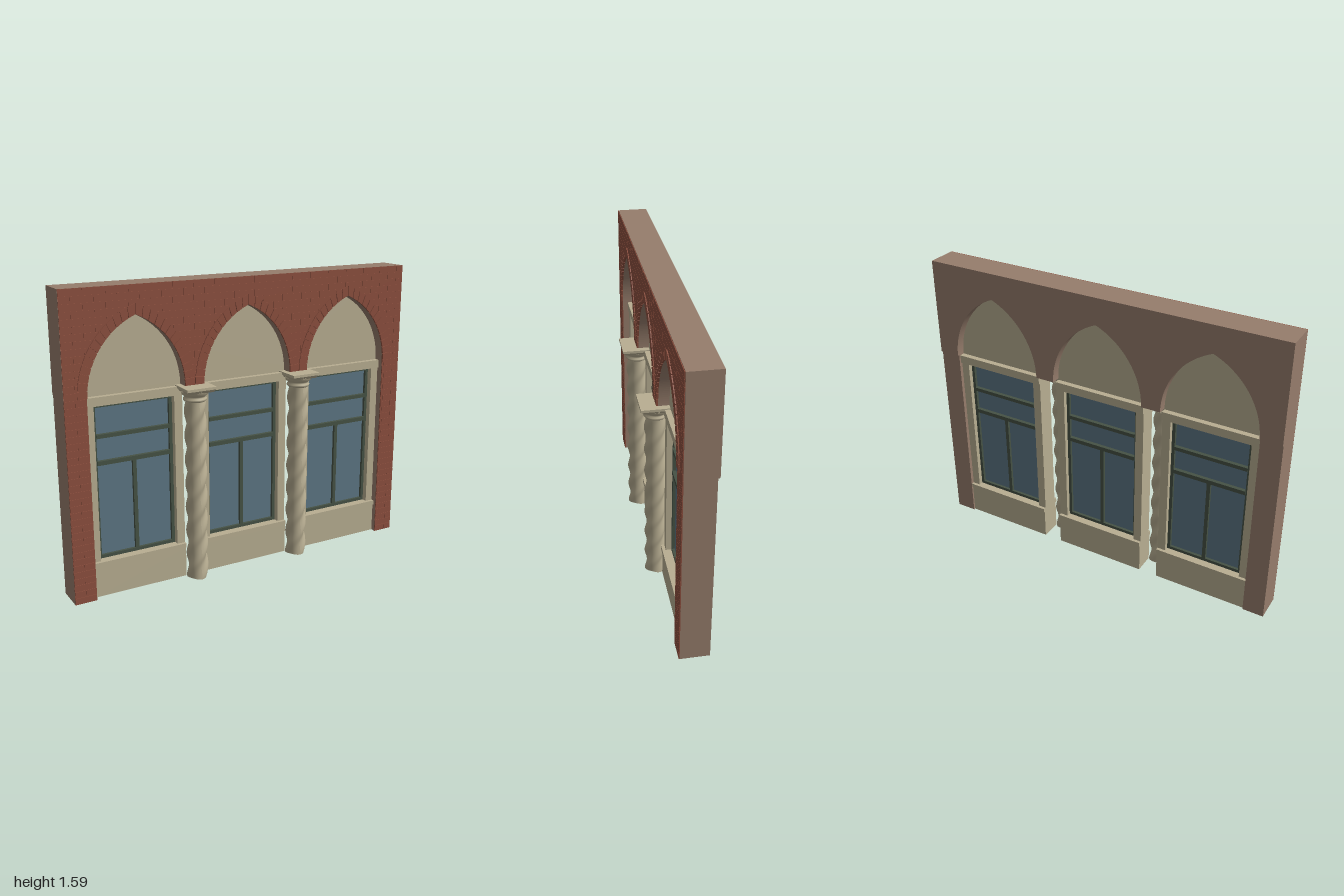
import * as THREE from 'three';
import { mergeGeometries } from 'three/addons/utils/BufferGeometryUtils.js';

const mat = (name, color) => Object.assign(new THREE.MeshStandardMaterial({ color }), { name });

export function createModel() {
  const stone = mat('cream stone', 0xb8ae92);
  const brick = mat('red brick', 0x8c4f3e);
  const plaster = mat('brown wall', 0x967d6c);
  const frameMat = mat('dark green frame', 0x465245);
  const glassMat = mat('blue glass', 0x5d7684);

  const root = new THREE.Group();
  root.name = 'archedWindowWall';
  const bays = [-0.625, 0, 0.625];
  const rows = 45, top = 1.585, rowH = top / rows;
  const spring = rowH * 30;            // height where the arches begin
  const half = 0.26, c = 0.155;        // arch half width, arc centre offset
  const rIn = half + c, rOut = rIn + 0.05;
  const peak = Math.acos(c / rIn);

  const add = (name, geo, material, parent = root) => {
    const m = new THREE.Mesh(geo, material);
    m.name = name;
    parent.add(m);
    return m;
  };
  // box geometry given by its limits
  const box = (x0, x1, y0, y1, z0, z1) =>
    new THREE.BoxGeometry(x1 - x0, y1 - y0, z1 - z0)
      .translate((x0 + x1) / 2, (y0 + y1) / 2, (z0 + z1) / 2);
  const extrude = (shape, z0, z1) =>
    new THREE.ExtrudeGeometry(shape, { depth: z1 - z0, bevelEnabled: false, curveSegments: 20 })
      .translate(0, 0, z0);
  // pointed arch, drawn from left springing to right springing
  const archPath = (shape, cx) => {
    shape.lineTo(cx - half, spring);
    shape.absarc(cx + c, spring, rIn, Math.PI, Math.PI - peak, true);
    shape.absarc(cx - c, spring, rIn, peak, 0, true);
  };

  // upper wall with three arched openings
  const wall = new THREE.Shape();
  wall.moveTo(-1, spring);
  bays.forEach(cx => archPath(wall, cx));
  wall.lineTo(1, spring);
  wall.lineTo(1, top);
  wall.lineTo(-1, top);
  wall.closePath();
  add('upperWall', extrude(wall, -0.125, 0.036), plaster);
  add('upperBrickFace', new THREE.ShapeGeometry(wall, 20).translate(0, 0, 0.038), brick);

  // side piers
  for (const s of [-1, 1]) {
    const [a, b] = s < 0 ? [-1, -0.885] : [0.885, 1];
    add('sidePier', box(a, b, 0, spring, -0.115, 0.036), plaster);
    add('pierBrickFace', box(a, b, 0, spring, 0.036, 0.038), brick);
  }

  // running bond bricks, cut off behind the arch rings
  const bricks = [];
  const len = 0.115, gap = 0.0015;
  for (let r = 0; r < rows; r++) {
    const y = r * rowH, dy = y + rowH / 2 - spring;
    const spans = [];
    if (dy < 0) spans.push([-1, -0.885], [0.885, 1]);
    else {
      const mid = (rIn + rOut) / 2;
      const hw = dy < mid ? Math.sqrt(mid * mid - dy * dy) - c : 0;
      let start = -1;
      if (hw > 0) for (const cx of bays) {
        spans.push([start, cx - hw]);
        start = cx + hw;
      }
      spans.push([start, 1]);
    }
    for (const [a, b] of spans) {
      for (let x = -1 - (r % 2) * len / 2; x < 1; x += len) {
        const x0 = Math.max(a, x), x1 = Math.min(b, x + len);
        if (x1 - x0 > 0.008)
          bricks.push(box(x0 + gap / 2, x1 - gap / 2, y + gap / 2, y + rowH - gap / 2, 0.037, 0.041));
      }
    }
  }
  add('bricks', mergeGeometries(bricks), brick);

  // wedge bricks around each arch
  const wedges = [], count = 13;
  for (const cx of bays) for (const s of [-1, 1]) for (let i = 0; i < count; i++) {
    const endOut = Math.acos(c / rOut);
    const pt = (r, end, t) => new THREE.Vector2(
      cx + s * Math.max(0, r * Math.cos(end * t) - c), spring + r * Math.sin(end * t));
    const t0 = (i + 0.05) / count, t1 = (i + 0.95) / count;
    wedges.push(extrude(new THREE.Shape([
      pt(rIn, peak, t0), pt(rOut, endOut, t0), pt(rOut, endOut, t1), pt(rIn, peak, t1)
    ]), 0.036, 0.046));
  }
  add('archRingBricks', mergeGeometries(wedges), brick);

  // one stone bay with its window, repeated under each arch
  for (const cx of bays) {
    const bay = new THREE.Group();
    bay.name = 'windowBay';
    bay.position.x = cx;
    root.add(bay);

    const tympanum = new THREE.Shape();
    tympanum.moveTo(-half, spring - 0.01);
    archPath(tympanum, 0);
    tympanum.lineTo(half, spring - 0.01);
    tympanum.closePath();
    add('tympanum', extrude(tympanum, -0.075, -0.02), stone, bay);

    add('basePanel', box(-half, half, 0, 0.165, -0.105, 0.01), stone, bay);
    add('sill', box(-half, half, 0.165, 0.19, -0.112, 0.018), stone, bay);
    add('lintel', box(-half, half, 1.005, 1.05, -0.105, 0.008), stone, bay);
    for (const s of [-1, 1])
      add('jamb', box(-0.0225, 0.0225, 0.19, 1.005, -0.095, 0).translate(s * 0.2375, 0, 0), stone, bay);

    add('glass', box(-0.21, 0.21, 0.195, 1, -0.055, -0.045), glassMat, bay);
    const bars = [
      box(-0.215, -0.198, 0.19, 1.005, -0.07, -0.03),
      box(0.198, 0.215, 0.19, 1.005, -0.07, -0.03),
      box(-0.198, 0.198, 0.19, 0.207, -0.07, -0.03),
      box(-0.198, 0.198, 0.988, 1.005, -0.07, -0.03),
      box(-0.198, 0.198, 0.69, 0.712, -0.075, -0.025),
      box(-0.198, 0.198, 0.83, 0.85, -0.075, -0.025),
      box(-0.01, 0.01, 0.207, 0.69, -0.07, -0.03)
    ];
    add('windowFrame', mergeGeometries(bars), frameMat, bay);
  }

  // twisted columns with capitals
  for (const s of [-1, 1]) {
    const column = new THREE.Group();
    column.name = 'column';
    column.position.set(s * 0.3125, 0, 0.04);
    root.add(column);

    const shaft = new THREE.CylinderGeometry(1, 1, 0.985, 36, 90).translate(0, 0.4925, 0);
    const p = shaft.attributes.position;
    for (let i = 0; i < p.count; i++) {
      const x = p.getX(i), y = p.getY(i), z = p.getZ(i);
      const r = 0.052 + 0.006 * Math.cos(3 * Math.atan2(x, z) - y * 48);
      p.setXYZ(i, x * r, y, z * r);
    }
    shaft.computeVertexNormals();
    add('twistedShaft', shaft, stone, column);

    const profile = [[0, 0.975], [0.054, 0.975], [0.061, 0.982], [0.061, 0.99], [0.054, 0.996],
      [0.056, 1.004], [0.068, 1.012], [0.07, 1.024], [0.076, 1.032], [0, 1.032]];
    add('capital', new THREE.LatheGeometry(profile.map(q => new THREE.Vector2(...q)), 32), stone, column);

    const k = Math.SQRT2;
    add('abacusFlare', new THREE.CylinderGeometry(0.081 * k, 0.07 * k, 0.016, 4).toNonIndexed()
      .rotateY(Math.PI / 4).translate(0, 1.034, 0), stone, column).geometry.computeVertexNormals();
    add('abacus', box(-0.083, 0.083, 1.042, spring - 0.001, -0.083, 0.085), stone, column);
  }
  return root;
}
